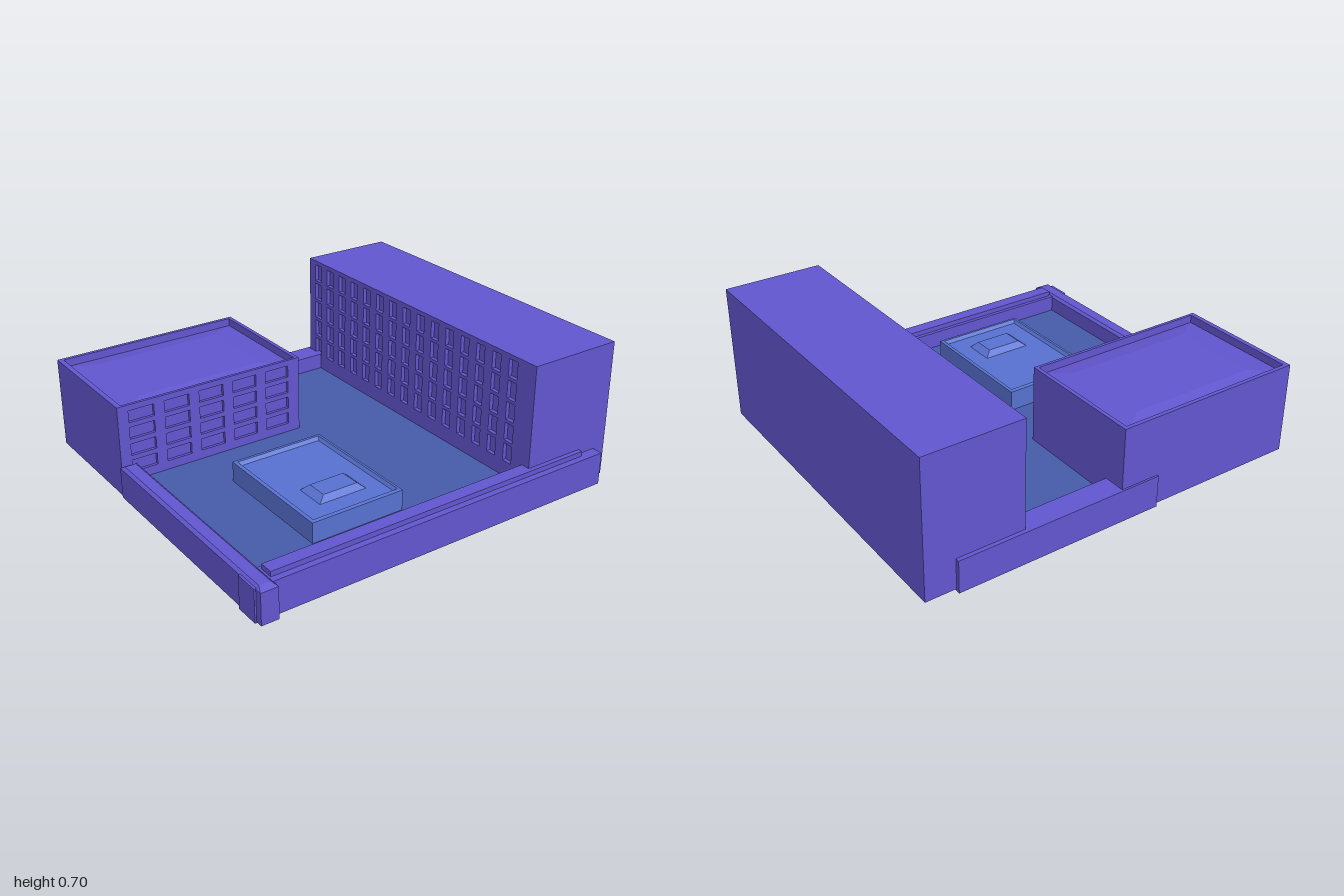
import * as THREE from 'three';

const purple = new THREE.MeshStandardMaterial({ color: 0x6357d1 });
purple.name = 'purple';
const floorBlue = new THREE.MeshStandardMaterial({ color: 0x475cab, side: THREE.DoubleSide });
floorBlue.name = 'floorBlue';
const lightBlue = new THREE.MeshStandardMaterial({ color: 0x5872d2, side: THREE.DoubleSide });
lightBlue.name = 'lightBlue';

// Stacked rectangles [x0, x1, z0, z1, y] joined by flat sides, capped at the end (and start if solid)
function loft(rects, solid = true) {
  const loops = rects.map(([x0, x1, z0, z1, y]) => [[x0, y, z1], [x1, y, z1], [x1, y, z0], [x0, y, z0]]);
  const pos = [];
  const quad = (a, b, c, d) => [a, b, c, a, c, d].forEach((p) => pos.push(...p));
  for (let i = 0; i + 1 < loops.length; i++) {
    for (let k = 0; k < 4; k++) {
      const n = (k + 1) % 4;
      quad(loops[i][k], loops[i][n], loops[i + 1][n], loops[i + 1][k]);
    }
  }
  quad(...loops[loops.length - 1]);
  if (solid) quad(...[...loops[0]].reverse());
  const g = new THREE.BufferGeometry();
  g.setAttribute('position', new THREE.Float32BufferAttribute(pos, 3));
  g.computeVertexNormals();
  return g;
}

const box = (x0, x1, z0, z1, y0, y1) => loft([[x0, x1, z0, z1, y0], [x0, x1, z0, z1, y1]]);

function rectPath(PathType, x0, x1, y0, y1) {
  const p = new PathType();
  p.moveTo(x0, y0);
  p.lineTo(x1, y0);
  p.lineTo(x1, y1);
  p.lineTo(x0, y1);
  p.closePath();
  return p;
}

// Wall plate with a grid of window openings
function facade(x0, x1, y0, y1, depth, cols, rows, w, h) {
  const shape = rectPath(THREE.Shape, x0, x1, y0, y1);
  for (const cx of cols) {
    for (const cy of rows) {
      shape.holes.push(rectPath(THREE.Path, cx - w / 2, cx + w / 2, cy - h / 2, cy + h / 2));
    }
  }
  return new THREE.ExtrudeGeometry(shape, { depth, bevelEnabled: false });
}

const series = (n, start, step) => Array.from({ length: n }, (_, i) => start + i * step);

export function createModel() {
  const model = new THREE.Group();
  model.name = 'buildingCourtyard';
  const add = (name, geometry, material) => {
    const m = new THREE.Mesh(geometry, material);
    m.name = name;
    model.add(m);
    return m;
  };

  // Tall rear building with its recessed windows
  add('rearBuilding', box(-0.92, 0.845, -1, -0.53, 0.01, 0.7), purple);
  add('rearBuildingWindowWall',
    facade(-0.92, 0.845, 0.01, 0.7, 0.02, series(15, -0.84, 0.11), series(5, 0.632, -0.107), 0.055, 0.09),
    purple).position.z = -0.53;

  // Low side building: parapet, sunken roof with a shallow raised centre
  add('sideBuilding', loft([
    [-0.93, -0.29, 0, 0.985, 0.01],
    [-0.93, -0.29, 0, 0.985, 0.47],
    [-0.91, -0.29, 0.02, 0.96, 0.47],
    [-0.91, -0.29, 0.02, 0.96, 0.43],
    [-0.815, -0.385, 0.16, 0.82, 0.445],
  ]), purple);
  const sideWall = add('sideBuildingWindowWall',
    facade(-0.985, 0, 0.01, 0.47, 0.015, series(5, -0.865, 0.184), series(4, 0.41, -0.085), 0.13, 0.06),
    purple);
  sideWall.rotation.y = Math.PI / 2;
  sideWall.position.x = -0.29;

  // Boundary walls
  add('leftWall', box(0.78, 0.9, -0.93, 0.91, 0, 0.165), purple);
  add('leftWallRail', box(0.8, 0.868, -0.83, 0.9, 0.16, 0.19), purple);
  add('rightWall', box(-0.94, -0.82, -0.85, 0.2, 0, 0.163), purple);
  add('frontWall', loft([
    [-0.28, 0.935, 0.905, 0.99, 0.005],
    [-0.28, 0.935, 0.905, 0.99, 0.16],
    [-0.26, 0.9, 0.92, 0.975, 0.172],
  ]), purple);
  add('frontWallPost', box(0.78, 0.9, 0.91, 0.998, 0, 0.163), purple);

  // Courtyard floor, open beneath the platform
  const floor = rectPath(THREE.Shape, -0.82, 0.78, -0.905, 0.53);
  floor.holes.push(rectPath(THREE.Path, 0, 0.655, -0.555, -0.07));
  const floorMesh = add('courtyardFloor', new THREE.ShapeGeometry(floor), floorBlue);
  floorMesh.rotation.x = -Math.PI / 2;
  floorMesh.position.y = 0.08;

  // Hollow platform with a shallow sunken top and a small tapered block
  add('platform', loft([
    [0, 0.655, 0.07, 0.555, 0.08],
    [0, 0.655, 0.07, 0.555, 0.182],
    [0.02, 0.637, 0.085, 0.538, 0.185],
    [0.033, 0.625, 0.095, 0.528, 0.168],
  ], false), lightBlue);
  add('platformBlock', loft([
    [0.375, 0.53, 0.18, 0.43, 0.169],
    [0.4, 0.507, 0.213, 0.395, 0.197],
  ], false), lightBlue);

  return model;
}
